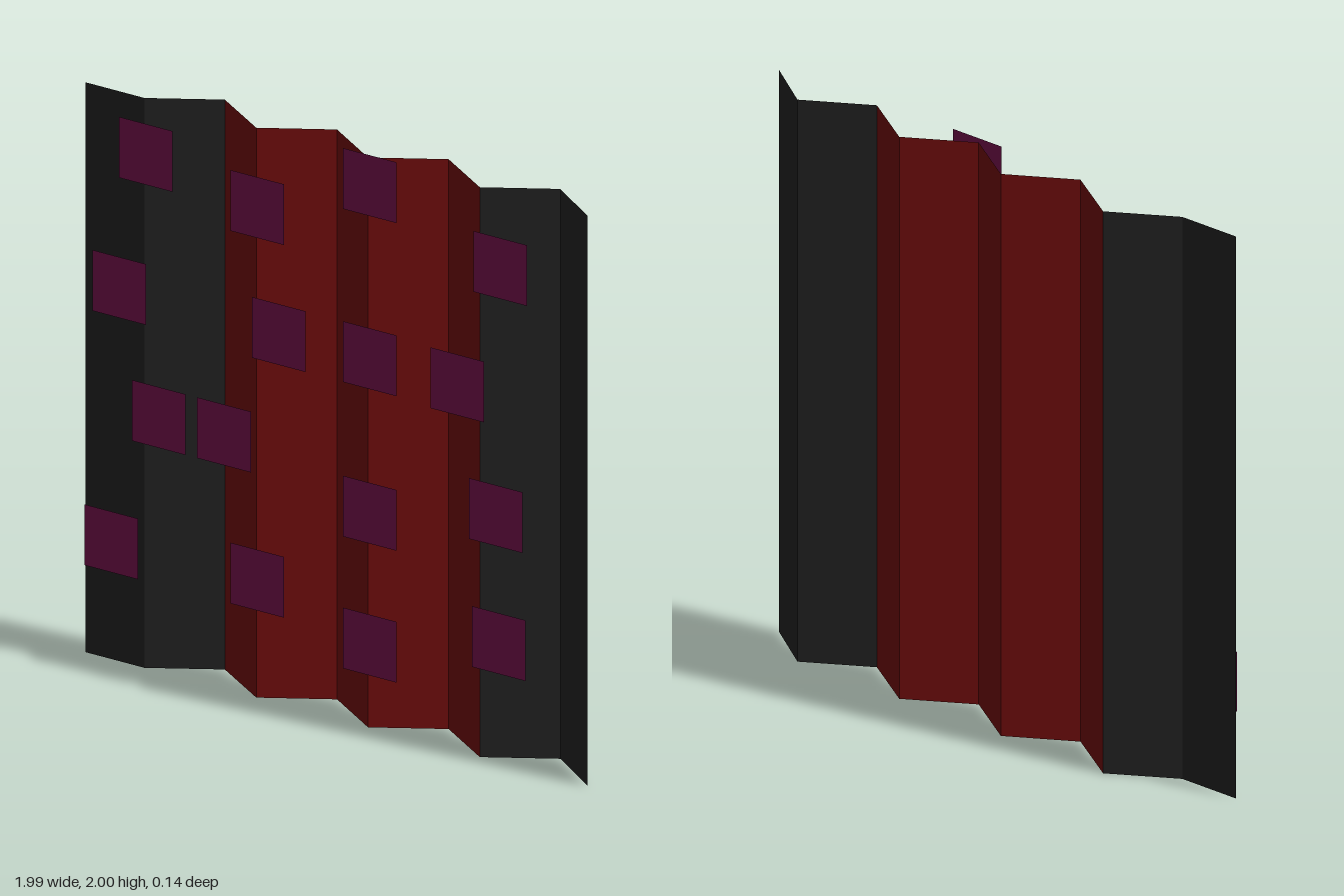
import * as THREE from 'three';

const HEIGHT = 1.988;
const FRONT = 0.068, BACK = -0.07;

// Strip of pleats: a folded [x, z] line raised to the full height
function pleats(name, line, color) {
  const pos = [];
  for (let i = 0; i < line.length - 1; i++) {
    const [x0, z0] = line[i], [x1, z1] = line[i + 1];
    pos.push(x0, 0, z0, x1, 0, z1, x1, HEIGHT, z1);
    pos.push(x0, 0, z0, x1, HEIGHT, z1, x0, HEIGHT, z0);
  }
  const geo = new THREE.BufferGeometry();
  geo.setAttribute('position', new THREE.Float32BufferAttribute(pos, 3));
  geo.computeVertexNormals();
  const mesh = new THREE.Mesh(geo, new THREE.MeshStandardMaterial({
    color, flatShading: true, side: THREE.DoubleSide }));
  mesh.name = name;
  return mesh;
}

export function createModel() {
  const group = new THREE.Group();
  group.name = 'pleatedScreen';

  // Fold line: flat first panel, then alternating pleats
  const xs = [-0.76, -0.54, -0.318, -0.096, 0.124, 0.345, 0.566, 0.787, 0.992];
  const line = [[-0.994, FRONT], ...xs.map((x, i) => [x, i % 2 ? BACK : FRONT])];

  group.add(pleats('leftSidePanel', line.slice(7), 0x252525));
  group.add(pleats('centrePanel', line.slice(2, 8), 0x780e0e));
  group.add(pleats('rightSidePanel', line.slice(0, 3), 0x252525));

  // Square patches floating just in front of the folds
  const centres = [
    [-0.752, 1.795], [-0.311, 1.713], [0.135, 1.894], [0.65, 1.726],
    [-0.856, 1.306], [-0.226, 1.29], [0.135, 1.29], [0.48, 1.28],
    [-0.7, 0.889], [-0.442, 0.889], [0.632, 0.86], [0.135, 0.751],
    [-0.888, 0.411], [-0.311, 0.413], [0.645, 0.416], [0.135, 0.291],
  ];
  const patchGeo = new THREE.PlaneGeometry(0.212, 0.212);
  const patchMat = new THREE.MeshStandardMaterial({ color: 0x7d1353, side: THREE.DoubleSide });
  const patches = new THREE.Group();
  patches.name = 'patches';
  centres.forEach(([x, y], i) => {
    const patch = new THREE.Mesh(patchGeo, patchMat);
    patch.name = `patch${i + 1}`;
    patch.position.set(x, y, 0.073);
    patches.add(patch);
  });
  group.add(patches);
  return group;
}
